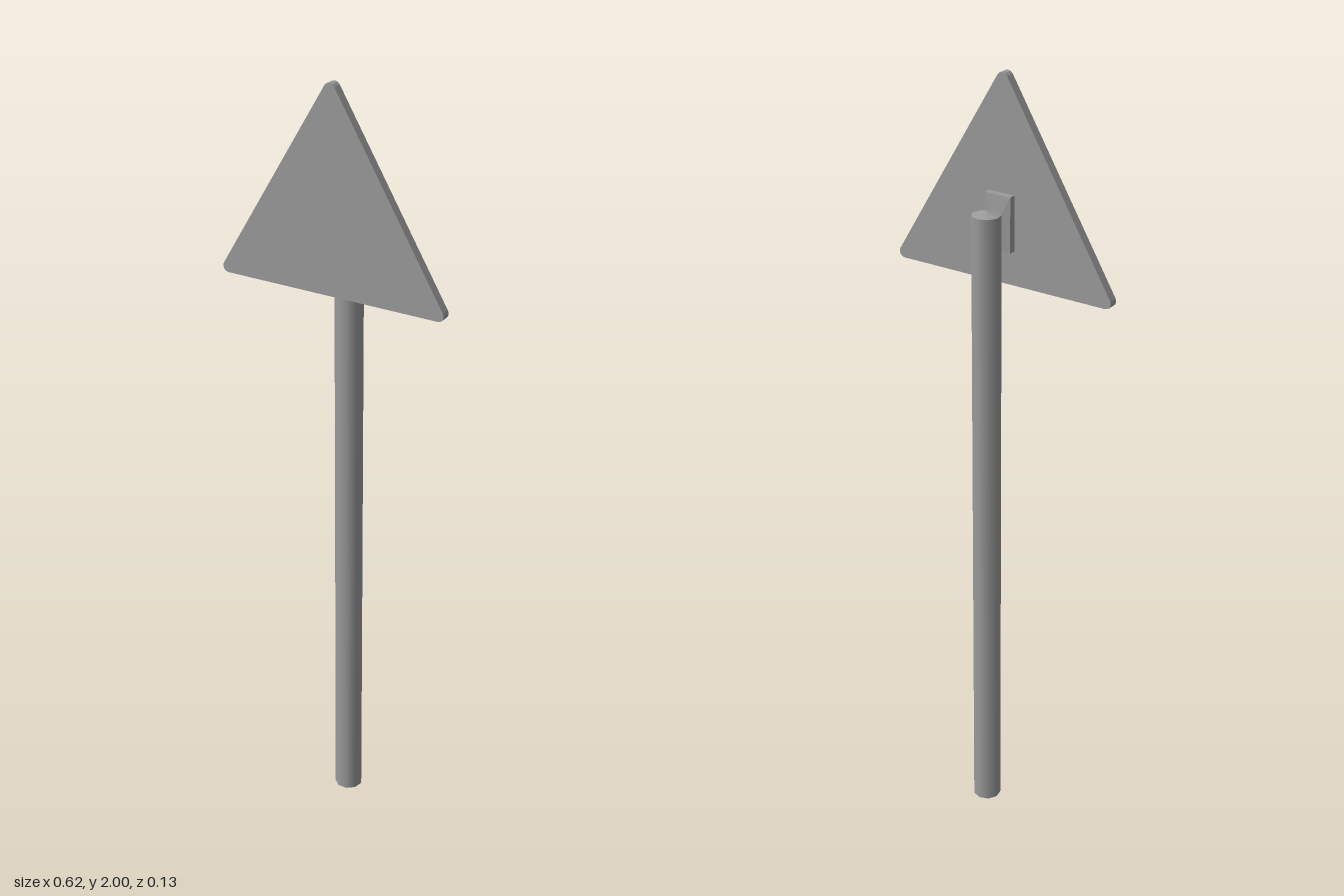
import * as THREE from 'three';

export function createModel() {
  const group = new THREE.Group();
  const color = 0x9b9b9b;
  const flat = new THREE.MeshStandardMaterial({ color, flatShading: true });
  const smooth = new THREE.MeshStandardMaterial({ color, side: THREE.DoubleSide });
  const add = (name, geometry, material, x, y, z) => {
    const mesh = new THREE.Mesh(geometry, material);
    mesh.name = name;
    mesh.position.set(x, y, z);
    group.add(mesh);
  };

  // Nine-sided hollow pole, smooth round the side, with a shallow pointed cap
  const poleRadius = 0.0365, poleHeight = 1.674, capHeight = 0.01, poleZ = -0.0265;
  const tube = new THREE.CylinderGeometry(poleRadius, poleRadius, poleHeight, 9, 1, true, Math.PI);
  add('pole', tube, smooth, 0, poleHeight / 2, poleZ);
  const cap = new THREE.ConeGeometry(poleRadius, capHeight, 9, 1, true, Math.PI);
  add('poleCap', cap, flat, 0, poleHeight + capHeight / 2, poleZ);

  // Triangular plate: a small arc round each corner, joined by straight edges
  const r = 0.015;
  const corners = [[0.293, 1.497], [0, 1.985], [-0.293, 1.497]];
  const lean = Math.atan2(0.293, 0.488); // angle of the slanted edge's normal
  const turns = [-Math.PI / 2, lean, Math.PI - lean, Math.PI * 1.5];
  const outline = new THREE.Shape();
  corners.forEach(([x, y], i) => outline.absarc(x, y, r, turns[i], turns[i + 1], false));
  outline.closePath();
  add('signPlate', new THREE.ExtrudeGeometry(outline, { depth: 0.024, bevelEnabled: false, curveSegments: 2 }), flat, 0, 0, 0.039);

  // Bracket: back plate, tapered step and short neck reaching the pole
  const bracketY = 1.64;
  add('bracketPlate', new THREE.BoxGeometry(0.073, 0.14, 0.019), flat, 0, bracketY, 0.03);
  const taper = new THREE.CylinderGeometry(0.36 * Math.SQRT1_2, Math.SQRT1_2, 0.004, 4)
    .rotateY(Math.PI / 4).rotateX(-Math.PI / 2).scale(0.073, 0.14, 1);
  add('bracketTaper', taper, flat, 0, bracketY, 0.0185);
  add('bracketNeck', new THREE.BoxGeometry(0.025, 0.04, 0.016), flat, 0, bracketY, 0.0095);

  return group;
}
